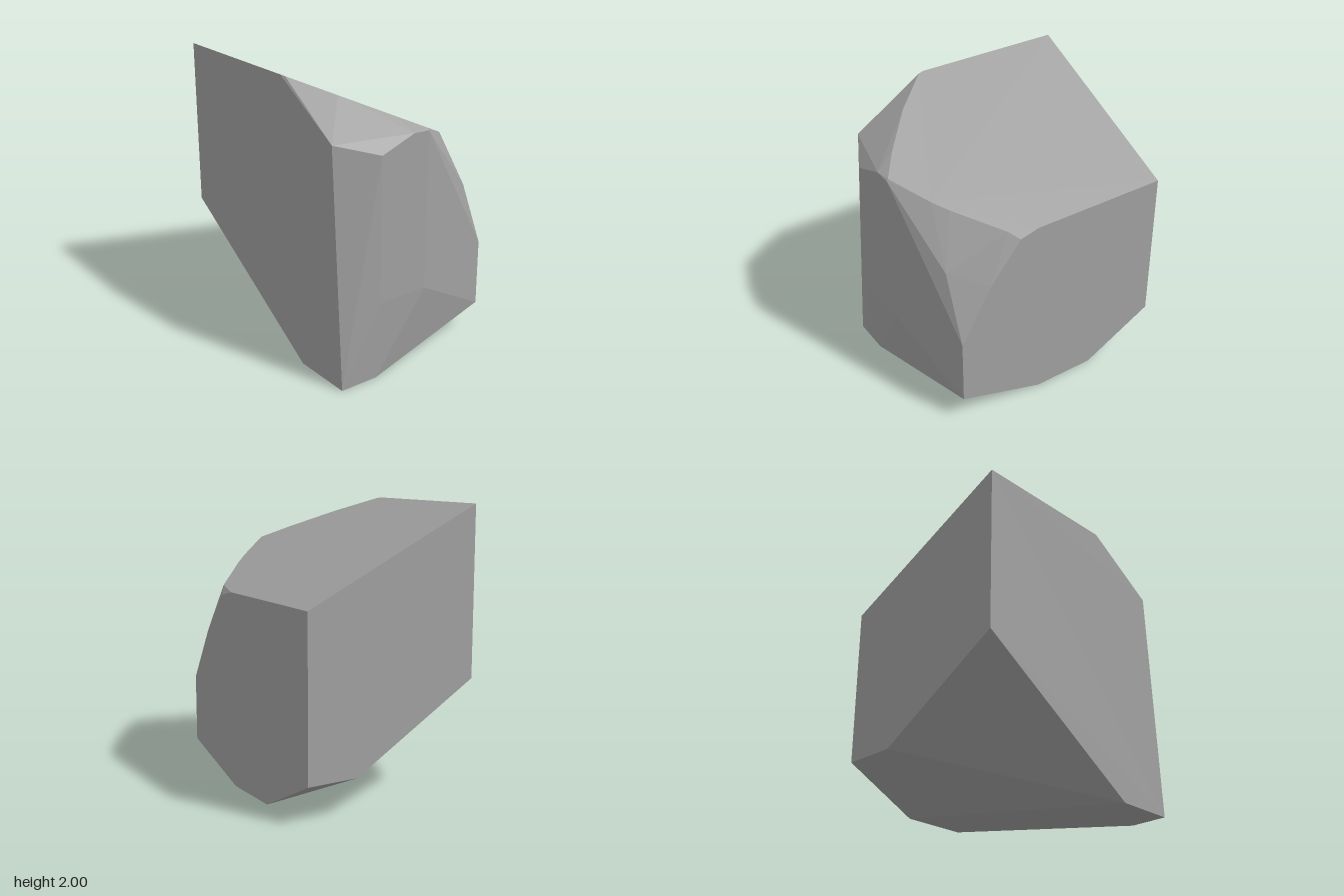
import * as THREE from 'three';
import { ConvexGeometry } from 'three/addons/geometries/ConvexGeometry.js';

export function createModel() {
  const group = new THREE.Group();
  group.name = 'rock';
  const stone = new THREE.MeshStandardMaterial({ color: 0xa0a0a0, flatShading: true });
  stone.name = 'grey stone';

  const W = 0.65, B = -0.885, F = 0.883;
  const topY = (x) => 2 - 0.473 * (x + W); // sloping top plane

  // rim of the sloping top, as x, z
  const rim = [
    [-W, B], [-W, 0.2], [-0.64, 0.24], [-0.42, 0.5], [-0.16, 0.74], [0.01, F - 0.01],
    [0.25, 0.7], [0.34, 0.62], [0.6, 0.35], [W, 0.14], [W, B],
  ].map(([x, z]) => [x, topY(x), z]);

  // bevels between the top and the sides
  const shoulders = [
    [-W, 1.67, 0.738], [-0.55, 1.875, 0.45], [-0.37, 1.585, F], [-0.11, 1.68, F], [0.01, 1.675, F],
    [0.47, 1.16, 0.743], [W, 0.68, 0.743], [W, 1.07, 0.51], [W, 1.35, 0.28],
  ];

  // lower edge of the front, flat base and chipped back corner
  const base = [
    [-0.37, 0.57, F], [0.01, 0.57, F], [W, 0.2, 0.743],
    [-W, 0, 0.84], [-0.37, 0, 0.845], [W, 0, 0.11], [W, 0, -0.35], [-W, 0, 0.4],
    [W, 0.27, B], [0.28, 0.27, B], [-W, 0.82, B],
  ];

  const points = [...rim, ...shoulders, ...base].map((p) => new THREE.Vector3(...p));
  const boulder = new THREE.Mesh(new ConvexGeometry(points), stone);
  boulder.name = 'boulder';
  group.add(boulder);
  return group;
}
